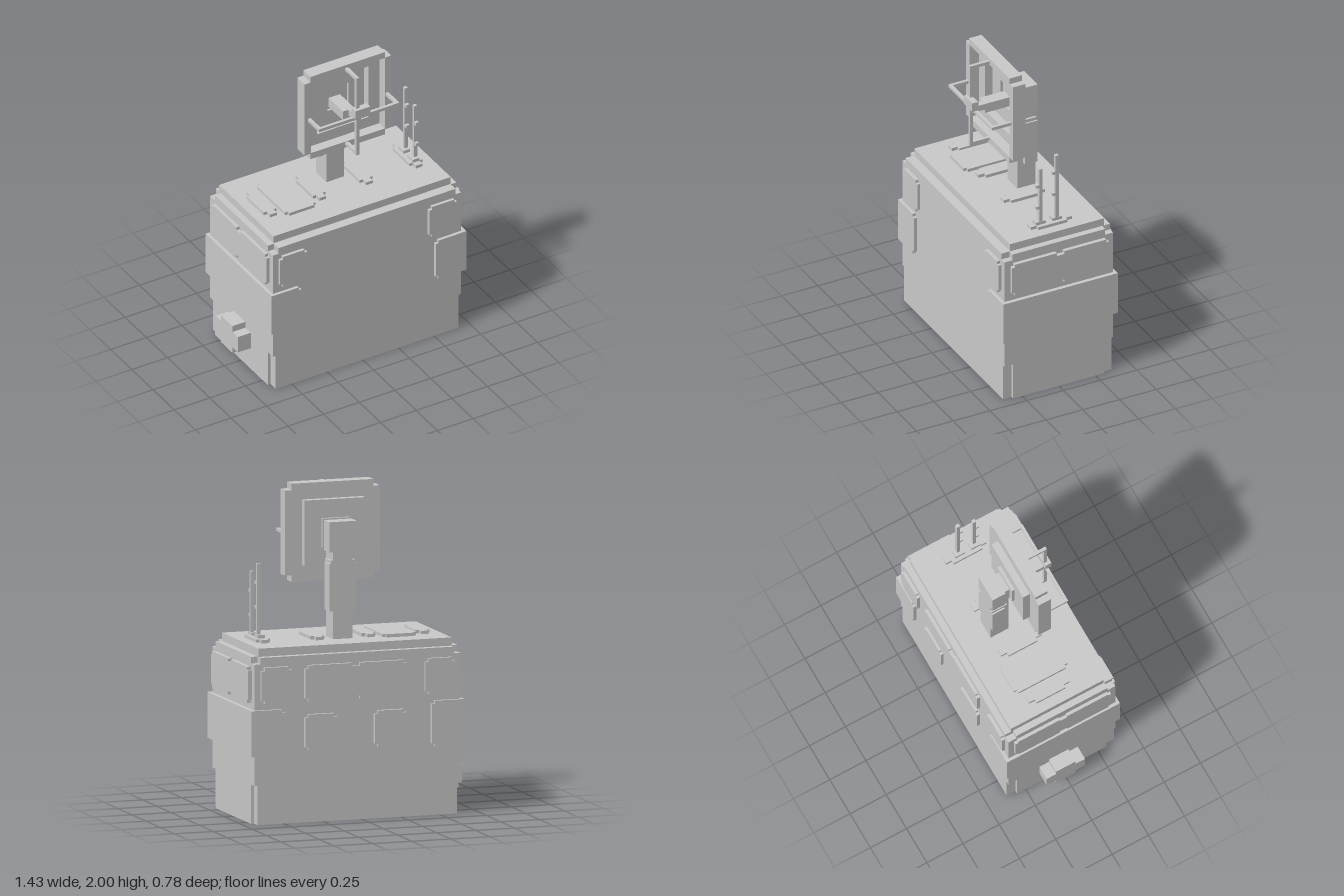
import * as THREE from 'three';

const material = new THREE.MeshStandardMaterial({ color: 0xcccccc, flatShading: true });

export function createModel() {
  const model = new THREE.Group();
  let parent = model;

  const group = (name) => {
    parent = new THREE.Group();
    parent.name = name;
    model.add(parent);
  };
  const add = (name, geometry) => {
    const mesh = new THREE.Mesh(geometry, material);
    mesh.name = name;
    parent.add(mesh);
  };

  // Box from its limits
  const box = (name, x0, x1, y0, y1, z0, z1) => {
    const g = new THREE.BoxGeometry(x1 - x0, y1 - y0, z1 - z0);
    g.translate((x0 + x1) / 2, (y0 + y1) / 2, (z0 + z1) / 2);
    add(name, g);
  };

  // Plate with stepped corners (nu by nv), optional mid notches and hole [u0, u1, v0, v1].
  // Outline (u, v) is (x, y) for axis z, (z, y) for axis x and (x, z) for axis y.
  const plate = (name, axis, [u0, u1, v0, v1], d0, d1, nu = 0.02, nv = nu, { mid = 0, hole } = {}) => {
    if (axis === 'x') [u0, u1] = [-u1, -u0];
    if (axis === 'y') [v0, v1] = [-v1, -v0];
    const c = (u0 + u1) / 2;
    const notch = (v, d) => (mid ? [[c - d * mid, v], [c - d * mid, v + d * 0.02], [c + d * mid, v + d * 0.02], [c + d * mid, v]] : []);
    const outline = [
      [u0 + nu, v0], ...notch(v0, 1), [u1 - nu, v0], [u1 - nu, v0 + nv], [u1, v0 + nv],
      [u1, v1 - nv], [u1 - nu, v1 - nv], [u1 - nu, v1], ...notch(v1, -1), [u0 + nu, v1],
      [u0 + nu, v1 - nv], [u0, v1 - nv], [u0, v0 + nv], [u0 + nu, v0 + nv],
    ];
    const shape = new THREE.Shape(outline.map(([u, v]) => new THREE.Vector2(u, v)));
    if (hole) {
      const [a, b, e, f] = hole;
      shape.holes.push(new THREE.Path([[a, e], [a, f], [b, f], [b, e]].map(([u, v]) => new THREE.Vector2(u, v))));
    }
    const g = new THREE.ExtrudeGeometry(shape, { depth: d1 - d0, bevelEnabled: false });
    g.translate(0, 0, d0);
    if (axis === 'x') g.rotateY(Math.PI / 2);
    if (axis === 'y') g.rotateX(-Math.PI / 2);
    add(name, g);
  };

  // Cabin: notched foot, main block, notched top edge, lid
  group('cabin');
  const floor = [-0.63, 0.69, -0.37, 0.37];
  plate('base', 'y', floor, 0, 0.24, 0.02, 0.06);
  box('body', -0.63, 0.69, 0.24, 0.98, -0.37, 0.37);
  plate('topEdge', 'y', floor, 0.98, 1.02, 0.04, 0.055);
  box('lid', -0.59, 0.65, 1.02, 1.07, -0.33, 0.31);

  // Wall panels
  group('wallPanels');
  for (const [d0, d1] of [[0.37, 0.39], [-0.39, -0.37]]) {
    for (const [x0, x1] of [[-0.59, -0.4], [0.455, 0.65]]) {
      plate('upperCornerPanel', 'z', [x0, x1, 0.74, 0.96], d0, d1);
    }
    for (const [x0, x1] of [[-0.65, -0.44], [0.5, 0.715]]) {
      plate('wrapPanel', 'z', [x0, x1, 0.42, 0.7], d0, d1);
    }
  }
  for (const [d0, d1] of [[0.69, 0.715], [-0.65, -0.63]]) {
    box('sideBand', d0, d1, 0.42, 0.7, -0.39, 0.39);
    plate('sidePanel', 'x', [-0.33, 0.33, 0.74, 0.96], d0, d1, 0.02, 0.02, { mid: 0.025 });
  }
  plate('backPanel', 'z', [-0.28, 0.37, 0.74, 0.96], -0.39, -0.37, 0.02, 0.02, { mid: 0.025 });
  for (const x of [-0.28, 0.165]) plate('backHatch', 'z', [x, x + 0.205, 0.44, 0.66], -0.39, -0.37);

  // Stepped socket on the right wall
  group('sideSocket');
  plate('socket', 'x', [-0.155, 0.11, 0.11, 0.305], -0.72, -0.63, 0.065, 0.042);

  // Roof hatches
  group('roofHatches');
  plate('roofHatch', 'y', [-0.415, -0.2, -0.2, 0.17], 1.07, 1.09);
  for (const x of [-0.48, -0.135, 0.193, 0.542]) {
    plate('roofStrip', 'y', [x - 0.045, x + 0.045, -0.155, 0.125], 1.07, 1.09, 0.022, 0.04);
  }

  // Pair of whip antennas
  group('antennas');
  for (const [z, top, side] of [[0.055, 1.48, 1], [-0.056, 1.545, 1]]) {
    box('antennaBase', 0.52, 0.564, 1.09, 1.11, z - 0.033, z + 0.033);
    box('antennaRod', 0.541, 0.563, 1.11, top, z - 0.011, z + 0.011);
    for (const y of [top - 0.27, top - 0.12]) {
      const c = z + side * 0.021;
      box('antennaClip', 0.541, 0.563, y - 0.01, y + 0.01, c - 0.01, c + 0.01);
    }
  }

  // Mast carrying the dish
  group('mast');
  box('column', -0.02, 0.105, 1.07, 1.62, -0.15, -0.025);
  box('collar', -0.045, 0.13, 1.24, 1.53, -0.15, -0.065);
  box('collarStep', -0.035, 0.12, 1.29, 1.55, -0.15, -0.045);
  box('head', -0.045, 0.13, 1.6, 1.785, -0.15, -0.06);
  box('headArm', -0.02, 0.105, 1.62, 1.745, -0.06, -0.02);

  // Stepped hollow dish
  group('dish');
  const rim = [-0.265, 0.342, 1.4, 2];
  plate('rim', 'z', rim, 0.065, 0.13, 0.042, 0.04, { hole: [-0.22, 0.297, 1.443, 1.957] });
  plate('outerFloor', 'z', rim, 0.045, 0.065, 0.042, 0.04, { hole: [-0.14, 0.22, 1.515, 1.885] });
  const middle = [-0.155, 0.235, 1.5, 1.9];
  plate('middleWall', 'z', middle, 0.015, 0.045, 0, 0, { hole: [-0.14, 0.22, 1.515, 1.885] });
  plate('middleFloor', 'z', middle, 0, 0.015, 0, 0, { hole: [-0.035, 0.11, 1.62, 1.775] });
  box('innerFloor', -0.05, 0.125, 1.607, 1.787, -0.02, 0);

  // Feed frame and horn in front of the dish
  group('feed');
  for (const y of [1.42, 1.96]) box('verticalStrut', 0.02, 0.04, y, y + 0.02, 0.1, 0.262);
  for (const x of [-0.242, 0.302]) box('sideStrut', x, x + 0.02, 1.68, 1.7, 0.1, 0.262);
  box('uprightBar', 0.02, 0.04, 1.42, 1.98, 0.242, 0.262);
  box('crossBar', -0.242, 0.322, 1.68, 1.7, 0.242, 0.262);
  box('horn', 0, 0.105, 1.7, 1.76, 0.24, 0.282);
  box('hornStem', 0.02, 0.06, 1.66, 1.7, 0, 0.25);
  box('stemSocket', -0.02, 0.06, 1.637, 1.7, -0.01, 0.17);

  return model;
}
